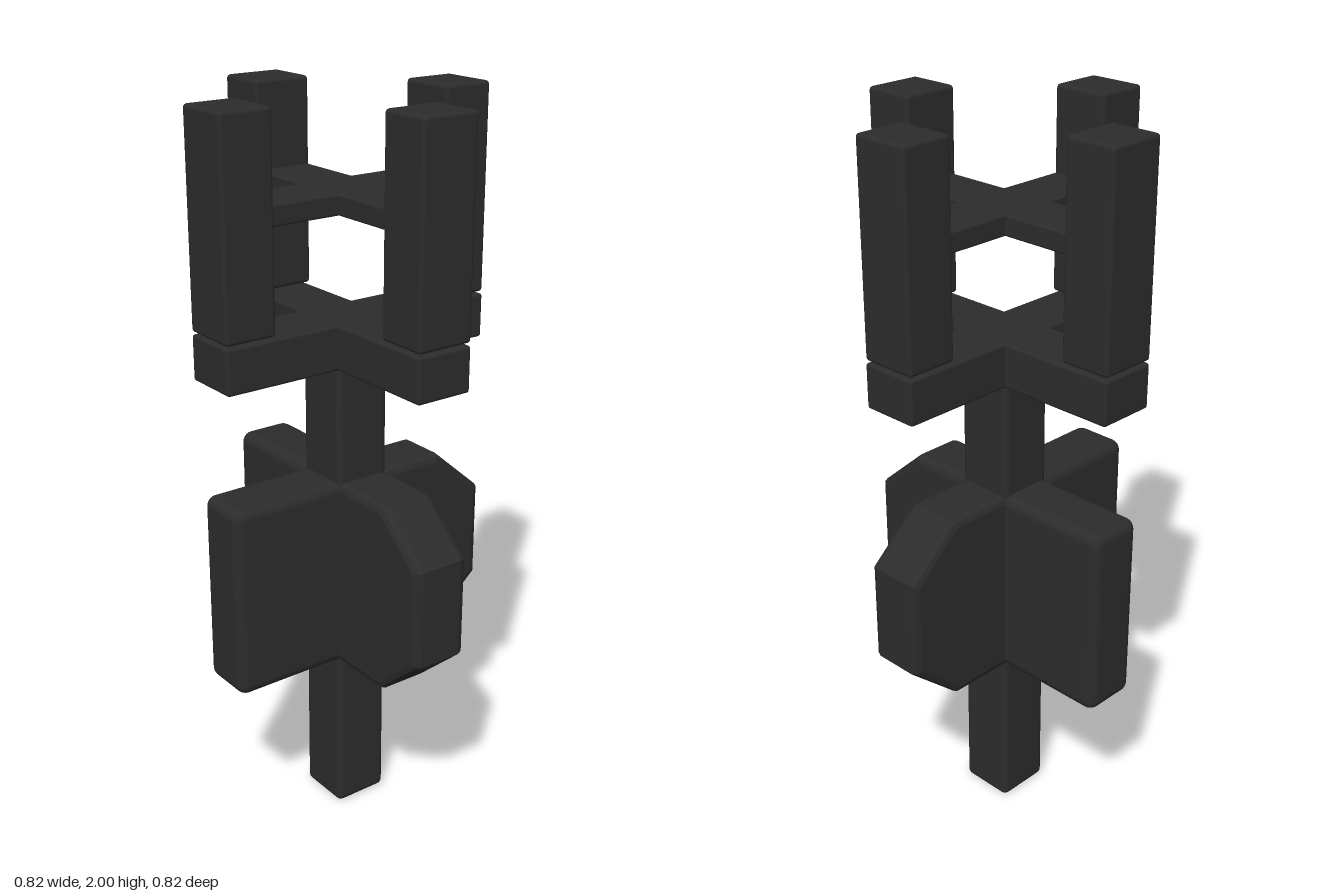
import * as THREE from 'three';
import { RoundedBoxGeometry } from 'three/addons/geometries/RoundedBoxGeometry.js';

const dark = new THREE.MeshStandardMaterial({ color: 0x2c2c2c });
const HALF = 0.081; // half thickness shared by all parts

// Softly rounded block given by its x and y extents
function block(name, x0, x1, y0, y1, radius, halfDepth = HALF) {
  const geo = new RoundedBoxGeometry(x1 - x0, y1 - y0, halfDepth * 2, 3, radius);
  const mesh = new THREE.Mesh(geo, dark);
  mesh.position.set((x0 + x1) / 2, (y0 + y1) / 2, 0);
  mesh.name = name;
  return mesh;
}

// Fin with two cut outer corners and bevelled rim
function cutFin() {
  const b = 0.02;
  const pts = [[0, 0.49], [0.255, 0.49], [0.392, 0.61], [0.392, 0.865], [0.255, 0.985], [0, 0.985]];
  const shape = new THREE.Shape(pts.map(([x, y]) => new THREE.Vector2(x, y)));
  const geo = new THREE.ExtrudeGeometry(shape, {
    depth: 2 * (HALF - b), bevelEnabled: true, bevelSize: b, bevelThickness: b, bevelSegments: 2,
  });
  geo.translate(0, 0, -(HALF - b));
  const mesh = new THREE.Mesh(geo, dark);
  mesh.name = 'cutFin';
  return mesh;
}

// One flat profile: two fins, an arm, two prongs and their tie bar
function profile(name) {
  const g = new THREE.Group();
  g.name = name;
  g.add(
    block('squareFin', -0.4, 0.04, 0.468, 1.005, 0.03),
    cutFin(),
    block('arm', -0.412, 0.4, 1.32, 1.441, 0.008),
    block('outerProng', -0.413, -0.268, 1.447, 2, 0.01),
    block('innerProng', 0.255, 0.4, 1.447, 2, 0.01),
    block('tieBar', -0.3, 0.29, 1.718, 1.772, 0.006, 0.079),
  );
  return g;
}

export function createModel() {
  const model = new THREE.Group();
  model.name = 'crossedPillar';

  // Central stem
  model.add(block('stem', -0.08, 0.08, 0, 1.4, 0.018, 0.08));

  // Two identical profiles crossing at a right angle
  const across = profile('sideProfile');
  const along = profile('frontBackProfile');
  along.rotation.y = Math.PI / 2;
  model.add(across, along);
  return model;
}
